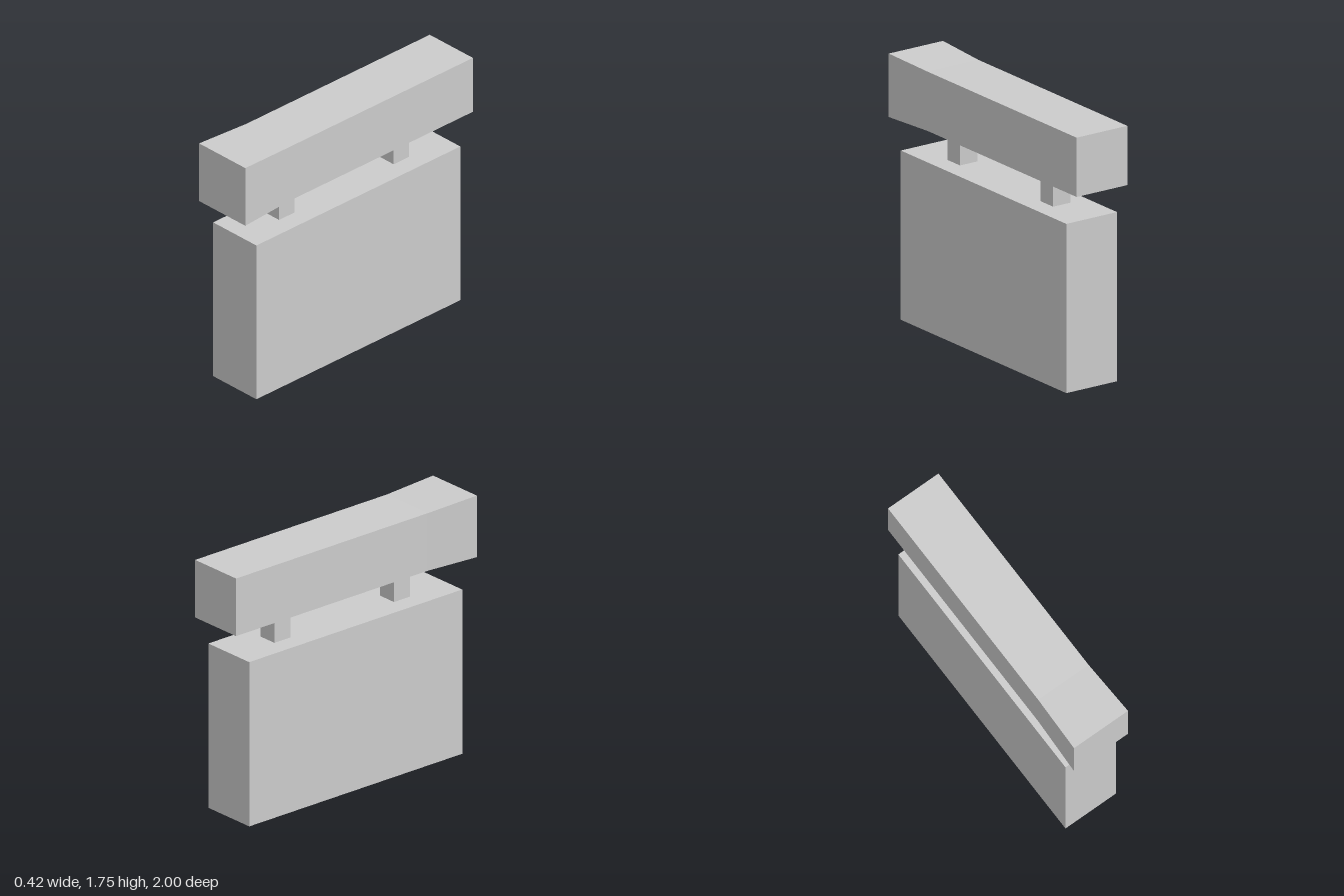
import * as THREE from 'three';

const material = new THREE.MeshStandardMaterial({ color: 0xcccccc, flatShading: true });

function addPart(group, name, geometry, y, z = 0) {
  const mesh = new THREE.Mesh(geometry, material);
  mesh.name = name;
  mesh.position.set(0, y, z);
  group.add(mesh);
}

// Square beam whose front fifth widens slightly towards +z
function flaredBeam(size, length, flare) {
  const geometry = new THREE.BoxGeometry(size, size, length, 1, 1, 5);
  const p = geometry.attributes.position;
  for (let i = 0; i < p.count; i++) {
    if (p.getZ(i) > length / 2 - 0.01) {
      p.setX(i, p.getX(i) * flare);
      p.setY(i, p.getY(i) * flare);
    }
  }
  geometry.computeVertexNormals();
  return geometry;
}

export function createModel() {
  const group = new THREE.Group();
  const bodyTop = 1.13, beamBottom = 1.34, beamSize = 0.396;

  // Main block
  addPart(group, 'body', new THREE.BoxGeometry(0.396, bodyTop, 1.78), bodyTop / 2);

  // Two short posts carrying the beam
  const postHeight = beamBottom - bodyTop;
  for (const [name, z] of [['frontPost', 0.5], ['backPost', -0.5]]) {
    addPart(group, name, new THREE.BoxGeometry(0.135, postHeight, 0.135), bodyTop + postHeight / 2, z);
  }

  // Top beam
  addPart(group, 'beam', flaredBeam(beamSize, 2, 1.07), beamBottom + beamSize / 2);

  return group;
}
